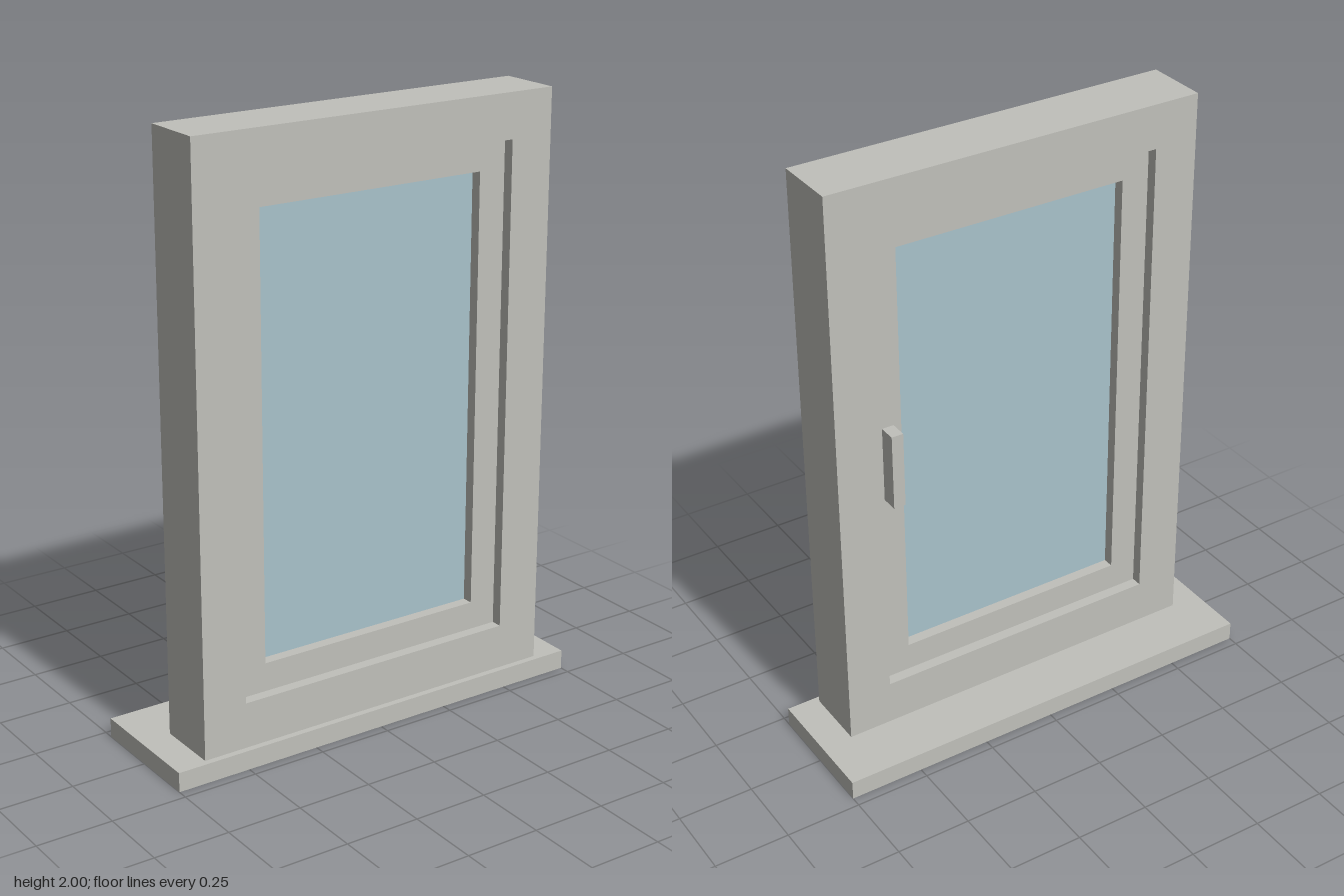
import * as THREE from 'three';

const frameGrey = new THREE.MeshStandardMaterial({ color: 0xc0c0ba });
frameGrey.name = 'frameGrey';
const glassBlue = new THREE.MeshStandardMaterial({ color: 0xa8c2cb });
glassBlue.name = 'glassBlue';

// Box given by its lower and upper corner
function box(name, material, [x0, y0, z0], [x1, y1, z1]) {
  const mesh = new THREE.Mesh(new THREE.BoxGeometry(x1 - x0, y1 - y0, z1 - z0), material);
  mesh.position.set((x0 + x1) / 2, (y0 + y1) / 2, (z0 + z1) / 2);
  mesh.name = name;
  return mesh;
}

function rectangle(PathType, { halfWidth: w, bottom, top }) {
  return new PathType([
    new THREE.Vector2(-w, bottom), new THREE.Vector2(w, bottom),
    new THREE.Vector2(w, top), new THREE.Vector2(-w, top),
  ]);
}

// Rectangular ring extruded from z0 to z1
function ring(name, outer, inner, z0, z1) {
  const shape = rectangle(THREE.Shape, outer);
  shape.holes.push(rectangle(THREE.Path, inner));
  const geometry = new THREE.ExtrudeGeometry(shape, { depth: z1 - z0, bevelEnabled: false });
  const mesh = new THREE.Mesh(geometry, frameGrey);
  mesh.position.z = z0;
  mesh.name = name;
  return mesh;
}

export function createModel() {
  const model = new THREE.Group();
  model.name = 'window';

  const wall = { halfWidth: 0.645, bottom: 0.065, top: 2 };
  const opening = { halfWidth: 0.495, bottom: 0.217, top: 1.853 };
  const pane = { halfWidth: 0.4, bottom: 0.312, top: 1.758 };
  const back = -0.021, front = 0.194, recess = 0.037;

  // Sill, fixed frame and the sash set back inside it
  model.add(box('sill', frameGrey, [-0.75, 0, -0.215], [0.75, 0.065, 0.215]));
  model.add(ring('outerFrame', wall, opening, back, front));
  model.add(ring('sash', opening, pane, back + recess, front - recess));

  // Glass, set back again on both faces
  model.add(box('glass', glassBlue,
    [-pane.halfWidth, pane.bottom, back + 2 * recess],
    [pane.halfWidth, pane.top, front - 2 * recess]));

  // Handle on the back of the sash
  model.add(box('handle', frameGrey, [0.427, 0.905, -0.042], [0.467, 1.163, back + recess]));

  return model;
}
